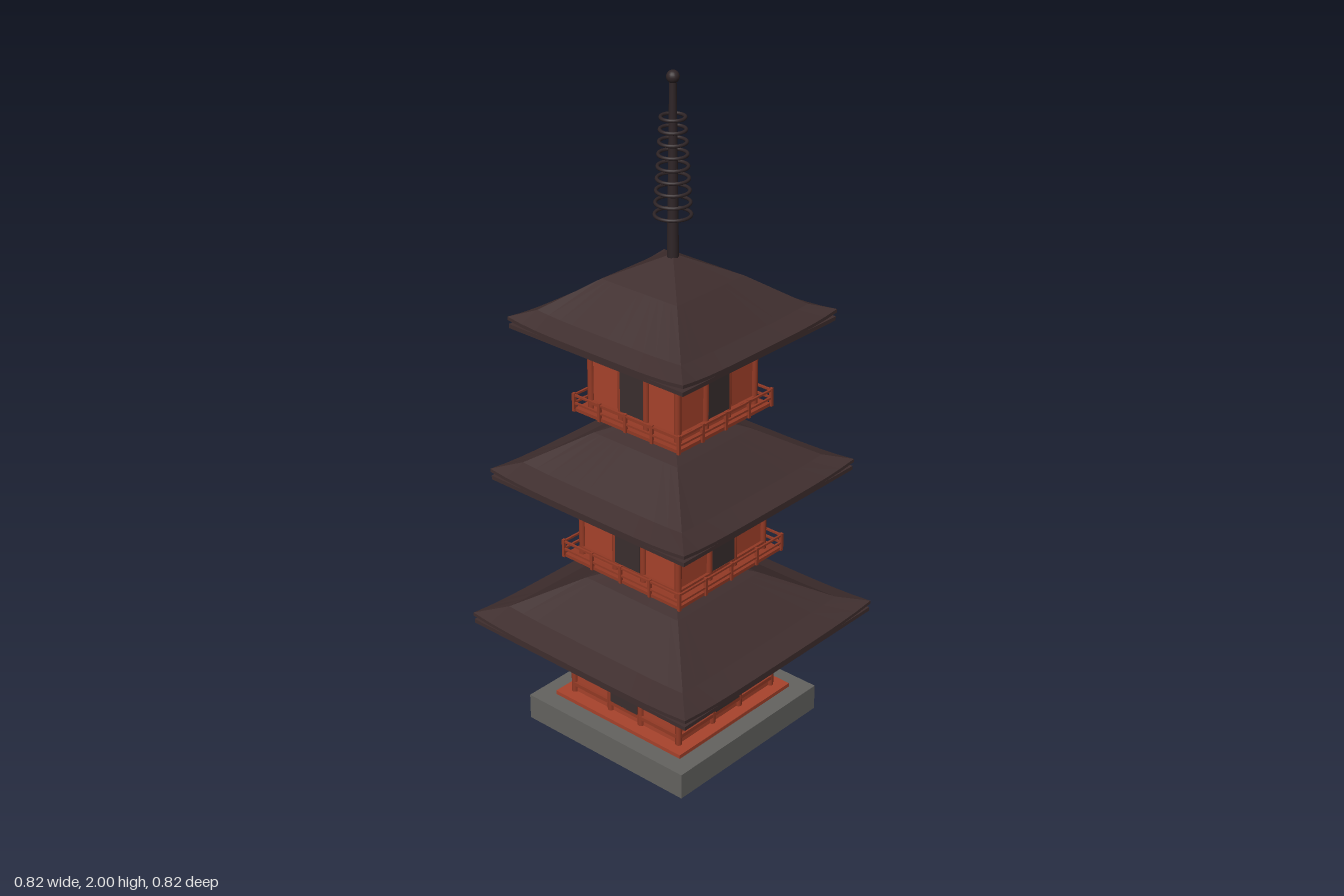
import * as THREE from 'three';

const mat = (name, color, side = THREE.FrontSide) => {
  const m = new THREE.MeshStandardMaterial({ color, side });
  m.name = name;
  return m;
};

export function createModel() {
  const red = mat('red wood', 0xa8432c);
  const darkRed = mat('dark red wood', 0x943a25);
  const roofMat = mat('roof tile', 0x3f2e2e, THREE.DoubleSide);
  const doorMat = mat('door wood', 0x3a2e2e);
  const metal = mat('spire metal', 0x2f2527);
  const stone = mat('stone', 0x646360);

  const model = new THREE.Group();
  model.name = 'pagoda';

  const add = (parent, name, geo, material, x = 0, y = 0, z = 0) => {
    const m = new THREE.Mesh(geo, material);
    m.name = name;
    m.position.set(x, y, z);
    parent.add(m);
    return m;
  };
  const box = (parent, name, material, w, h, d, x, y, z) =>
    add(parent, name, new THREE.BoxGeometry(w, h, d), material, x, y, z);

  // Four-sided curved roof shell with lifted corners
  function roofGeometry(half, height) {
    // distance from centre, height fraction, drop for the underside
    const rows = [[0, 1, 0], [0.43, 0.63, 0], [0.82, 0.13, 0], [1, 0, 0],
      [1, 0, 0.01], [0.82, 0.13, 0.01], [0.43, 0.63, 0.01]];
    const cols = 12, pos = [], index = [];
    for (let side = 0; side < 4; side++) {
      const c = Math.round(Math.cos(side * Math.PI / 2));
      const s = Math.round(Math.sin(side * Math.PI / 2));
      const start = pos.length / 3;
      for (const [f, yf, drop] of rows) {
        for (let j = 0; j <= cols; j++) {
          const t = j / cols * 2 - 1;
          const x = half * f * t, z = half * f;
          const lift = 0.012 * t ** 4 * f ** 4;
          pos.push(c * x + s * z, yf * height + lift - drop, c * z - s * x);
        }
      }
      for (let i = 0; i < rows.length - 1; i++) {
        for (let j = 0; j < cols; j++) {
          const a = start + i * (cols + 1) + j, b = a + cols + 1;
          if (i > 0) index.push(a, b + 1, a + 1);
          index.push(a, b, b + 1);
        }
      }
    }
    const indexed = new THREE.BufferGeometry();
    indexed.setAttribute('position', new THREE.Float32BufferAttribute(pos, 3));
    indexed.setIndex(index);
    const geo = indexed.toNonIndexed();
    geo.computeVertexNormals();
    return geo;
  }

  // Stone base and wooden sill
  box(model, 'base', stone, 0.6, 0.08, 0.6, 0, 0.04, 0);
  box(model, 'sill', red, 0.49, 0.012, 0.49, 0, 0.086, 0);

  const tiers = [
    { y: 0.09, half: 0.205, eave: 0.41, edge: 0.36, apex: 0.55, door: [0.052, 0.125, 0.255], rail: 0 },
    { y: 0.553, half: 0.183, eave: 0.363, edge: 0.833, apex: 1.02, door: [0.047, 0.59, 0.72], rail: 0.225 },
    { y: 1.02, half: 0.16, eave: 0.318, edge: 1.3, apex: 1.487, door: [0.043, 1.06, 1.193], rail: 0.198 },
  ];

  tiers.forEach((t, n) => {
    const tier = new THREE.Group();
    tier.name = 'tier' + (n + 1);
    model.add(tier);
    const top = t.edge - 0.02, h = top - t.y, mid = t.y + h / 2;

    box(tier, 'walls', red, t.half * 2, h, t.half * 2, 0, mid, 0);
    box(tier, 'eaveBoard', roofMat, t.eave * 2 - 0.004, 0.012, t.eave * 2 - 0.004, 0, t.edge - 0.016, 0);
    add(tier, 'roof', roofGeometry(t.eave, t.apex - t.edge), roofMat, 0, t.edge, 0);
    if (t.rail) box(tier, 'balconyFloor', darkRed, t.rail * 2 - 0.01, 0.01, t.rail * 2 - 0.01, 0, t.y + 0.005, 0);

    for (let k = 0; k < 4; k++) {
      const side = new THREE.Group();
      side.name = 'wallSide';
      side.rotation.y = k * Math.PI / 2;
      tier.add(side);

      // Door panel
      const [dw, d0, d1] = t.door;
      box(side, 'door', doorMat, dw * 2, d1 - d0, 0.008, 0, (d0 + d1) / 2, t.half + 0.005);

      // Columns with stepped brackets
      [-1, -0.29, 0.29, 1].forEach((u) => {
        const x = u * t.half;
        if (u < 1) add(side, 'column', new THREE.CylinderGeometry(0.01, 0.01, h, 10), darkRed, x, mid, t.half);
        box(side, 'bracketLower', red, 0.028, 0.012, 0.04, x, top - 0.022, t.half + 0.008);
        box(side, 'bracketUpper', red, 0.045, 0.014, 0.055, x, top - 0.008, t.half + 0.01);
      });

      // Horizontal beams
      [[0.03, 0.012], [h - 0.055, 0.012], [h - 0.012, 0.014]].forEach(([y, th]) =>
        box(side, 'beam', darkRed, t.half * 2, th, 0.014, 0, t.y + y, t.half + 0.002));

      // Balcony railing
      if (t.rail) {
        const r = t.rail - 0.004;
        [0.026, 0.05].forEach((y) =>
          box(side, 'rail', darkRed, r * 2 + 0.008, 0.006, 0.006, 0, t.y + y, r));
        for (let i = 0; i < 4; i++) {
          box(side, 'railPost', darkRed, 0.009, 0.056, 0.009, -r + i * r * 0.5, t.y + 0.028, r);
        }
      }
    }
  });

  // Spire with nine rings and a ball finial
  const spire = new THREE.Group();
  spire.name = 'spire';
  model.add(spire);
  add(spire, 'spirePole', new THREE.CylinderGeometry(0.01, 0.017, 0.51, 12), metal, 0, 1.725, 0);
  add(spire, 'finial', new THREE.SphereGeometry(0.018, 16, 12), metal, 0, 1.982, 0);
  for (let i = 0; i < 9; i++) {
    const ring = add(spire, 'spireRing', new THREE.TorusGeometry(0.05 - i * 0.0021, 0.005, 8, 24), metal, 0, 1.6 + i * 0.034, 0);
    ring.rotation.x = Math.PI / 2;
  }
  return model;
}
